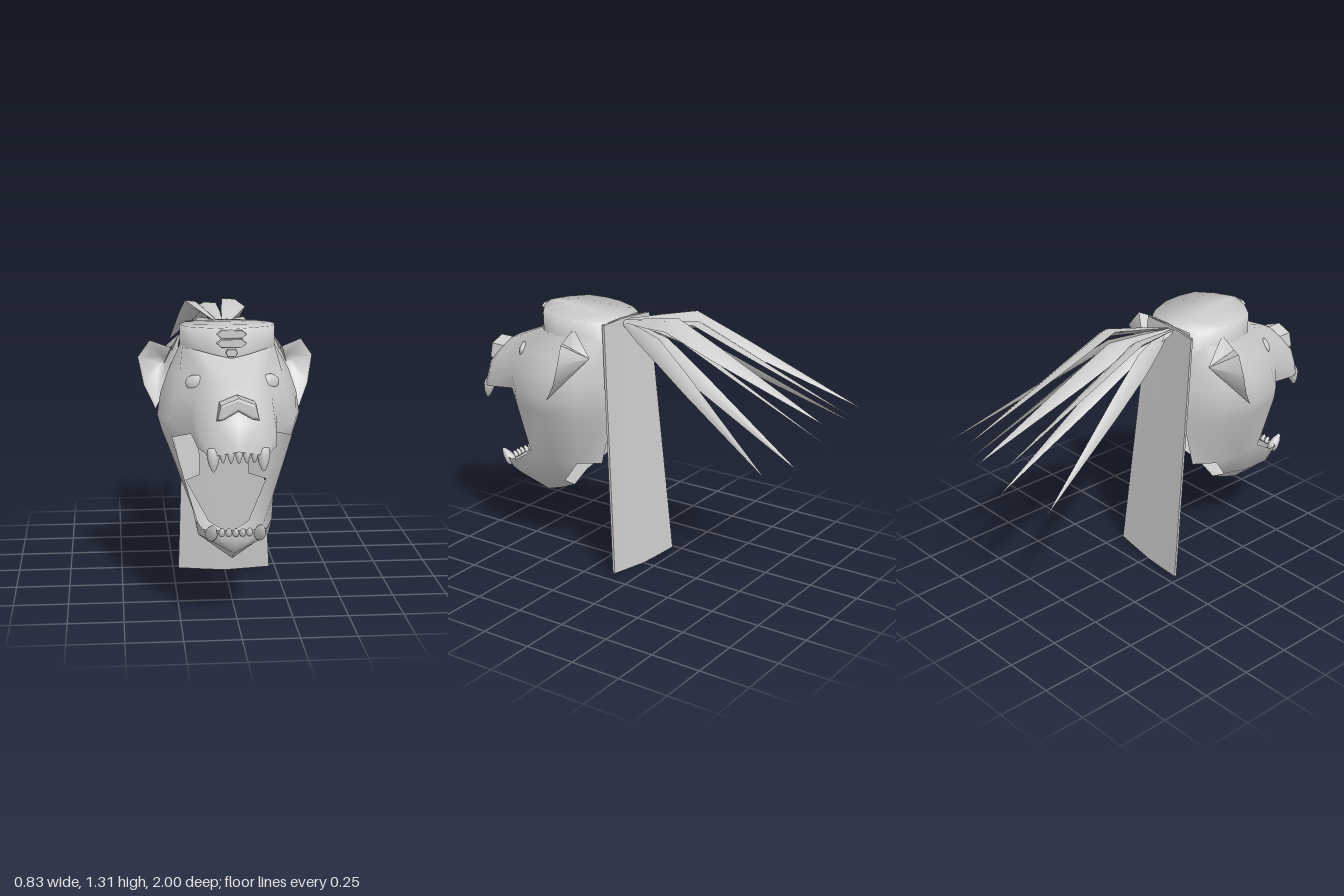
import * as THREE from 'three';
import { toCreasedNormals } from 'three/addons/utils/BufferGeometryUtils.js';

const shell = new THREE.MeshStandardMaterial({ color: 0xcccccc, side: THREE.DoubleSide });

function add(parent, geometry, name) {
  const mesh = new THREE.Mesh(geometry, shell);
  mesh.name = name;
  parent.add(mesh);
  return mesh;
}

// Surface through rows of [x, y, z] points; keep(r, c) leaves openings, mirror adds the -x half
function skin(rows, { keep = () => true, mirror = false, crease = 1 } = {}) {
  const pos = [];
  for (const s of mirror ? [1, -1] : [1]) {
    const push = (...pts) => {
      if (s < 0) pts.reverse();
      pts.forEach(([x, y, z]) => pos.push(s * x, y, z));
    };
    for (let r = 0; r < rows.length - 1; r++) {
      for (let c = 0; c < rows[r].length - 1; c++) {
        if (!keep(r, c)) continue;
        const a = rows[r][c], b = rows[r + 1][c], d = rows[r + 1][c + 1], e = rows[r][c + 1];
        push(a, b, e);
        if (d !== b) push(b, d, e);
      }
    }
  }
  const g = new THREE.BufferGeometry();
  g.setAttribute('position', new THREE.Float32BufferAttribute(pos, 3));
  g.computeVertexNormals();
  return toCreasedNormals(g, crease);
}

// Bevelled plate from an outline of [x, y] points
function plate(outline, depth, bevel) {
  const shape = new THREE.Shape(outline.map(([x, y]) => new THREE.Vector2(x, y)));
  return new THREE.ExtrudeGeometry(shape, {
    depth, bevelEnabled: true, bevelSize: bevel, bevelThickness: bevel, bevelOffset: -bevel, bevelSegments: 2,
  });
}

// Tooth standing on its base, pointed at the top
function tooth(parent, name, x, y, z, radius, length, tilt) {
  const profile = [[0, 0], [0.8, 0.05], [1, 0.3], [0.75, 0.65], [0.3, 0.93], [0, 1]]
    .map(([r, h]) => new THREE.Vector2(r * radius, h * length));
  const m = add(parent, new THREE.LatheGeometry(profile, 10), name);
  m.position.set(x, y, z);
  m.rotation.x = tilt;
}

function buildHead() {
  const head = new THREE.Group();
  head.name = 'head';
  head.position.x = -0.015;

  // Half-sections from the front midline round to the open back edge
  const skull = [
    [[0, 1.15, .63], [.08, 1.165, .605], [.13, 1.175, .575], [.175, 1.18, .535], [.205, 1.18, .46], [.21, 1.18, .38], [.185, 1.18, .27], [.125, 1.19, .2]],
    [[0, 1.07, .83], [.05, 1.07, .81], [.09, 1.085, .76], [.14, 1.1, .67], [.225, 1.08, .6], [.27, 1.07, .46], [.25, 1.07, .28], [.12, 1.08, .18]],
    [[0, 1.03, .9], [.07, 1.0, .9], [.12, .98, .87], [.165, 1.0, .73], [.25, .98, .63], [.305, .97, .46], [.27, .97, .28], [.12, .97, .165]],
    [[0, .945, .975], [.09, .925, .955], [.165, .89, .9], [.185, .92, .74], [.28, .88, .64], [.32, .87, .46], [.275, .87, .28], [.12, .85, .16]],
    [[0, .825, 1.0], [.115, .8, .975], [.165, .82, .9], [.185, .845, .74], [.262, .81, .65], [.3, .8, .46], [.25, .78, .29], [.118, .78, .175]],
  ];
  const jawBack = [.09, .375, .49], chin = [0, .31, .765], heel = [0, .32, .5];
  const jaw = [
    [[0, .44, .84], [.09, .44, .835], [.14, .44, .815], [.168, .46, .74], [.185, .53, .63], [.2, .53, .48], [.185, .53, .34], [.115, .53, .24]],
    [[0, .385, .845], [.06, .385, .84], [.11, .387, .815], [.155, .39, .73], [.14, .38, .6], jawBack, jawBack, jawBack],
    [chin, chin, chin, [0, .257, .67], [0, .285, .58], heel, heel, heel],
  ];
  const openings = [[0, 7], [0, 7], [0, 7], [0, 7], [4, 7], [0, 6], [0, 5]];
  add(head, skin([...skull, ...jaw], {
    mirror: true, keep: (r, c) => c >= openings[r][0] && c < openings[r][1],
  }), 'faceAndJaw');

  // Flat-topped cap: x, bottom, top, z round its wall
  const cap = [[0, 1.135, 1.278, .625], [.1, 1.165, 1.278, .585], [.185, 1.18, 1.275, .525], [.208, 1.15, 1.27, .44],
    [.213, 1.15, 1.263, .36], [.18, 1.12, 1.257, .26], [.155, 1.05, 1.253, .22], [.13, 1.1, 1.25, .19]];
  add(head, skin([
    cap.map(([, , t, z]) => [0, t, z]),
    cap.map(([x, , t, z]) => [x, t, z]),
    cap.map(([x, b, , z]) => [x, b, z]),
  ], { mirror: true, crease: 1.7 }), 'cap');

  // Flat six-sided studs on the cap
  for (const [y, w, h] of [[1.255, .065, .017], [1.215, .065, .017], [1.174, .026, .016]]) {
    const hexagon = [[w, 0], [w * .7, h], [-w * .7, h], [-w, 0], [-w * .7, -h], [w * .7, -h]];
    const stud = add(head, plate(hexagon, .025, .004), 'capStud');
    stud.position.set(0, y, .605);
  }

  // Nose pad arched over the muzzle
  const noseOutline = [[0, 1.045], [.075, 1.015], [.09, .945], [.06, .95], [0, .985], [-.06, .95], [-.09, .945], [-.075, 1.015]];
  const nose = add(head, plate(noseOutline, .055, .012), 'nose');
  nose.position.z = .892;

  // Cupped ear: back, rim, inner lip and hollow
  const rim = [[.205, 1.225, .33], [.25, 1.155, .365], [.345, 1.18, .3], [.4, 1.1, .28], [.375, .98, .33], [.325, .885, .41], [.27, .98, .37], [.225, 1.12, .35]];
  const towards = (p, q, t) => p.map((v, i) => v + (q[i] - v) * t);
  const root = [.23, 1.1, .22];
  const lip = rim.map((p) => towards(p, [.3, 1.07, .33], .13));
  const hollow = lip.map((p) => towards(p, [.28, 1.07, .285], .65));
  const loop = (pts) => [...pts, pts[0]];
  const point = (p) => loop(rim).map(() => p);
  add(head, skin([point(root), loop(rim), loop(lip), loop(hollow), point([.28, 1.07, .285])], { mirror: true }), 'ears');

  for (const s of [1, -1]) {
    const eye = add(head, new THREE.SphereGeometry(1, 18, 12), 'eye');
    eye.scale.set(.046, .033, .018);
    eye.position.set(s * .163, 1.057, .676);
    eye.rotation.set(-.3, s * .55, s * -.08, 'YXZ');
    tooth(head, 'upperFang', s * .105, .835, .95, .029, .105, Math.PI - .2);
    tooth(head, 'lowerFang', s * .105, .4, .815, .028, .1, .75);
  }
  for (let i = -2; i <= 2; i++) {
    const inset = Math.abs(i) * .006;
    tooth(head, 'upperIncisor', i * .033, .83, .98 - inset, .016, .06, Math.PI - .1);
    tooth(head, 'lowerIncisor', i * .03, .415, .838 - inset / 2, .015, .04, .4);
  }
  return head;
}

// Thin curved neck panel, slightly turned
function buildNeckPanel() {
  const section = (pts) => {
    const rear = pts.map(([x, y, z]) => [x, y, z - .012]).reverse();
    return [...pts, ...rear, pts[0]];
  };
  const top = [[-.19, 1.245, .168], [-.09, 1.25, .183], [0, 1.255, .19], [.07, 1.252, .195], [.14, 1.25, .2]];
  const base = [[-.225, .008, .05], [-.11, .003, .062], [0, 0, .075], [.11, .01, .087], [.215, .02, .098]];
  return skin([section(top), section(base)], { crease: 0.5 });
}

// Bent blade with a diamond section: bend and tip points, half width, roll
function feather(root, bend, tip, width, roll) {
  const [a, b, c] = [root, bend, tip].map((p) => new THREE.Vector3(...p));
  const stations = [[a, .008], [a.clone().lerp(b, .55), width * .7], [b, width], [b.clone().lerp(c, .3), width * .8], [c, .001]];
  const side = new THREE.Vector3(Math.cos(roll), Math.sin(roll), 0);
  const up = new THREE.Vector3(-Math.sin(roll), Math.cos(roll), 0);
  const rows = stations.map(([p, w]) => [0, 1, 2, 3, 4].map((i) => {
    const t = i * Math.PI / 2;
    return p.clone().addScaledVector(side, w * Math.cos(t)).addScaledVector(up, w * .3 * Math.sin(t)).toArray();
  }));
  return skin(rows, { crease: 0.8 });
}

export function createModel() {
  const model = new THREE.Group();
  model.name = 'beastHeadHelmet';
  model.add(buildHead());
  add(model, buildNeckPanel(), 'neckPanel');

  const plume = new THREE.Group();
  plume.name = 'plume';
  model.add(plume);
  // Bend, tip, half width, roll: upper three, then the lower fan
  const blades = [
    [[-.13, 1.28, -.13], [-.215, .97, -.98], .05, -.4],
    [[-.075, 1.265, -.2], [-.085, .97, -1.0], .055, .2],
    [[.06, 1.285, -.14], [.08, .97, -.95], .06, -.35],
    [[-.14, 1.18, -.1], [-.4, .81, -.88], .05, 1.0],
    [[-.06, 1.18, -.12], [-.1, .79, -.9], .045, .3],
    [[.09, 1.18, -.12], [.215, .79, -.9], .05, -.9],
    [[.13, 1.18, -.1], [.415, .81, -.85], .05, -1.0],
  ];
  blades.forEach(([bend, tip, width, roll], i) => {
    add(plume, feather([-.035 + (i % 4) * .01, 1.235, .2], bend, tip, width, roll), 'feather');
  });
  return model;
}
